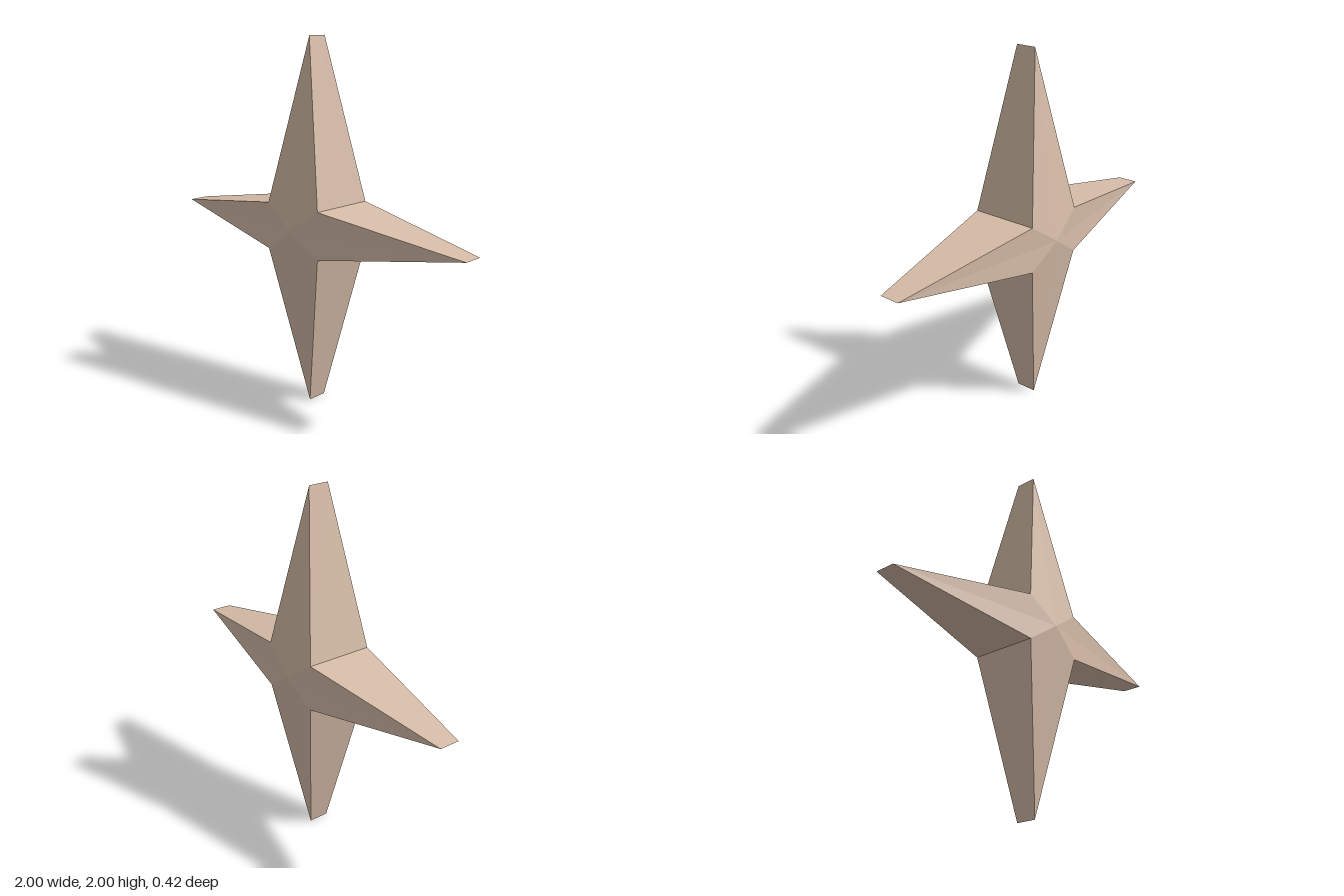
import * as THREE from 'three';

// Half depths: hub centre, inner corners, blade tips
const HUB_Z = 0.21, CORNER_Z = 0.187, TIP_Z = 0.057;

// Outline counter-clockwise: tips alternate with inner corners
function outline() {
  const points = [];
  for (let i = 0; i < 4; i++) {
    const a = (i * Math.PI) / 2;
    points.push([Math.cos(a), Math.sin(a), TIP_Z]);
    const b = a + Math.PI / 4;
    points.push([0.18 * Math.sign(Math.cos(b)), 0.127 * Math.sign(Math.sin(b)), CORNER_Z]);
  }
  return points;
}

function buildGeometry(triangles) {
  const geometry = new THREE.BufferGeometry();
  geometry.setAttribute('position', new THREE.Float32BufferAttribute(triangles.flat(2), 3));
  geometry.computeVertexNormals();
  return geometry;
}

export function createModel() {
  const group = new THREE.Group();
  group.name = 'fourPointedStar';
  const tan = new THREE.MeshStandardMaterial({ color: 0xd6bca8 });
  tan.name = 'tan';
  tan.flatShading = true;

  const points = outline();
  const front = [], back = [], rim = [];
  points.forEach((p, i) => {
    const q = points[(i + 1) % points.length];
    const pBack = [p[0], p[1], -p[2]];
    const qBack = [q[0], q[1], -q[2]];
    // Faceted faces fan out from the raised hub
    front.push([[0, 0, HUB_Z], p, q]);
    back.push([[0, 0, -HUB_Z], qBack, pBack]);
    // Tapering side walls of the blades
    rim.push([p, pBack, qBack], [p, qBack, q]);
  });

  for (const [name, triangles] of Object.entries({ frontFace: front, backFace: back, bladeSides: rim })) {
    const mesh = new THREE.Mesh(buildGeometry(triangles), tan);
    mesh.name = name;
    mesh.position.y = 1;
    group.add(mesh);
  }
  return group;
}
